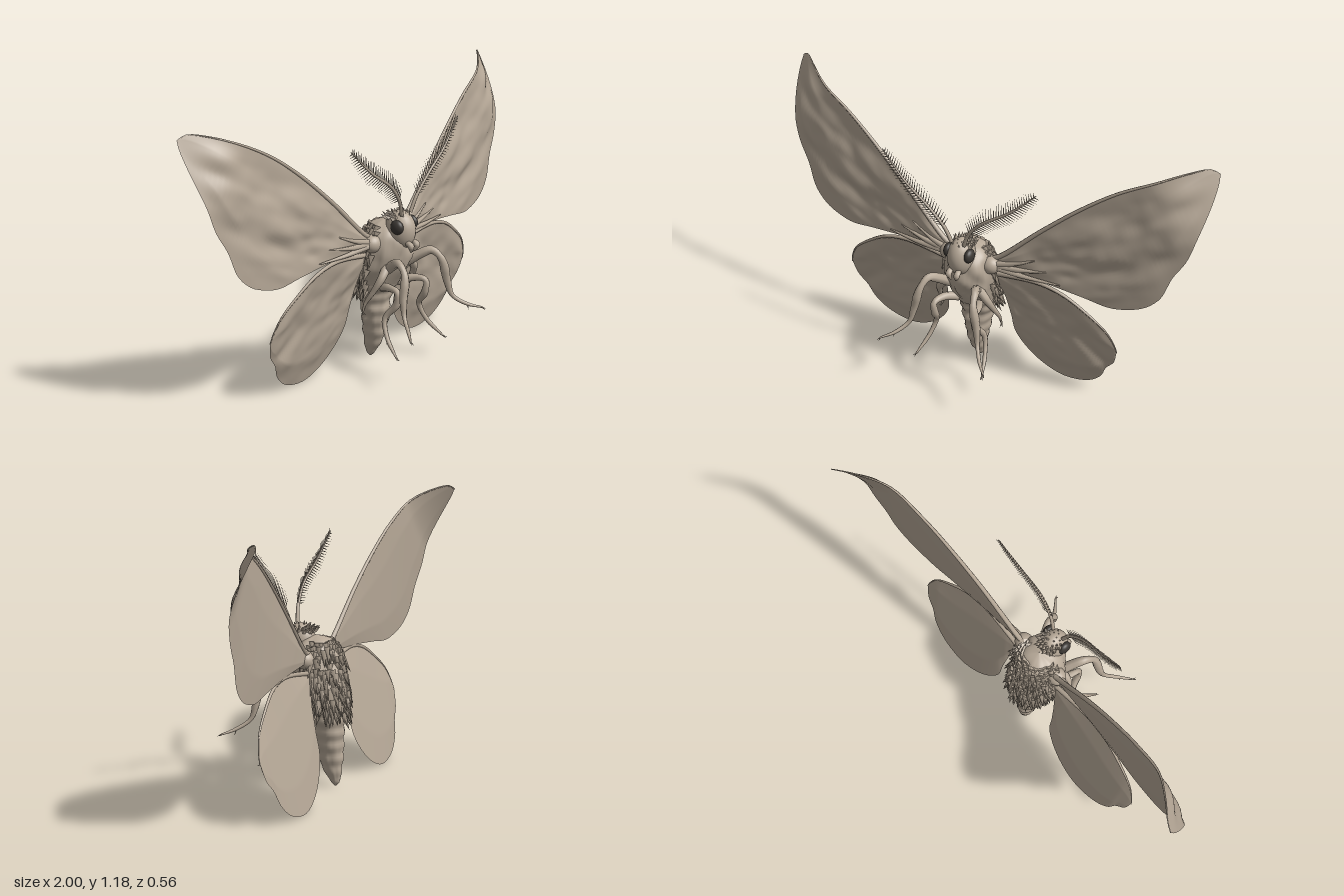
import * as THREE from 'three';
import { mergeGeometries, mergeVertices } from 'three/addons/utils/BufferGeometryUtils.js';

const V = (x, y, z = 0) => new THREE.Vector3(x, y, z);
const tan = new THREE.MeshStandardMaterial({ color: 0xb6a897 });
tan.name = 'dusty tan';
const dark = new THREE.MeshStandardMaterial({ color: 0x3b3733 });
dark.name = 'dark eye';

// seeded random and smooth 3D value noise in -1..1
let seed = 7;
const rand = () => (seed = (seed * 16807) % 2147483647) / 2147483647;
const hash = (i, j, k) => {
  const h = Math.sin(i * 127.1 + j * 311.7 + k * 74.7) * 43758.5453;
  return (h - Math.floor(h)) * 2 - 1;
};
function noise(x, y, z = 0) {
  const i = Math.floor(x), j = Math.floor(y), k = Math.floor(z);
  const s = (t) => t * t * (3 - 2 * t);
  const a = s(x - i), b = s(y - j), c = s(z - k), mix = THREE.MathUtils.lerp;
  const row = (dj, dk) => mix(hash(i, j + dj, k + dk), hash(i + 1, j + dj, k + dk), a);
  return mix(mix(row(0, 0), row(1, 0), b), mix(row(0, 1), row(1, 1), b), c);
}

// surface from a rule f(u, v); flip reverses the facing
function surface(nu, nv, f, flip) {
  const pos = [], idx = [];
  for (let j = 0; j <= nv; j++)
    for (let i = 0; i <= nu; i++) pos.push(...f(i / nu, j / nv).toArray());
  for (let j = 0; j < nv; j++)
    for (let i = 0; i < nu; i++) {
      const a = j * (nu + 1) + i, b = a + 1, c = a + nu + 1, d = c + 1;
      if (flip) idx.push(a, c, b, b, c, d);
      else idx.push(a, b, c, b, d, c);
    }
  let g = new THREE.BufferGeometry();
  g.setAttribute('position', new THREE.Float32BufferAttribute(pos, 3));
  g.setIndex(idx);
  g = mergeVertices(g, 1e-5);
  g.computeVertexNormals();
  return g;
}

// tube along points, radius given by a list of stops
function taper(points, radii, n = 28, sides = 8) {
  const curve = new THREE.CatmullRomCurve3(points);
  const fr = curve.computeFrenetFrames(n);
  return surface(sides, n, (u, v) => {
    const k = Math.round(v * n), a = u * Math.PI * 2;
    const q = v * (radii.length - 1), i = Math.min(Math.floor(q), radii.length - 2);
    const r = THREE.MathUtils.lerp(radii[i], radii[i + 1], q - i);
    return curve.getPointAt(v).addScaledVector(fr.normals[k], r * Math.cos(a))
      .addScaledVector(fr.binormals[k], r * Math.sin(a));
  }, false);
}

// thin cone from a base point in a direction
function spike(from, dir, length, radius, sides = 3) {
  const g = new THREE.ConeGeometry(radius, length, sides).translate(0, length / 2, 0);
  g.applyQuaternion(new THREE.Quaternion().setFromUnitVectors(V(0, 1, 0), dir.clone().normalize()));
  return g.translate(from.x, from.y, from.z);
}

function add(parent, name, geometry, material = tan) {
  const m = new THREE.Mesh(geometry, material);
  m.name = name;
  parent.add(m);
  return m;
}
function ball(parent, name, p, rx, ry, rz, material = tan) {
  return add(parent, name, new THREE.SphereGeometry(1, 24, 16).scale(rx, ry, rz).translate(p.x, p.y, p.z), material);
}

// wings: leading edge and trailing edge, both from root to tip, plus depth rule
const foreWing = {
  lead: [[.09, .59], [.13, .61], [.33, .8], [.49, .94], [.64, 1.05], [.79, 1.13], [.89, 1.17], [.96, 1.183], [.995, 1.165]],
  trail: [[.09, .56], [.14, .555], [.33, .545], [.52, .525], [.64, .51], [.72, .525], [.79, .555], [.85, .615], [.89, .72],
    [.94, .81], [.97, .91], [.995, 1.04], [1, 1.13], [.995, 1.165]],
  depth: (x, y) => -.052 - .05 * x * x - .06 * x * y - .1 * Math.pow(Math.max(0, x * y - .85) / .3, 1.5),
  angle: .45,
};
const hindWing = {
  lead: [[.08, .51], [.15, .525], [.33, .545], [.44, .52], [.545, .455], [.625, .385], [.66, .32], [.67, .28]],
  trail: [[.08, .47], [.13, .43], [.16, .29], [.17, .19], [.225, .1], [.305, .035], [.395, .006], [.51, .03], [.58, .09], [.61, .155],
    [.65, .205], [.67, .28]],
  depth: (x, y) => -.058 - .24 * (.55 - y),
  angle: -.7,
};
function wing(parent, name, w, s) {
  const lead = new THREE.CatmullRomCurve3(w.lead.map((p) => V(...p)));
  const trail = new THREE.CatmullRomCurve3(w.trail.map((p) => V(...p)));
  const ca = Math.cos(w.angle), sa = Math.sin(w.angle);
  const sheet = (face) => surface(56, 36, (u, v) => {
    const p = lead.getPointAt(u).lerp(trail.getPointAt(u), v);
    const edge = Math.min(1, 4 * Math.min(v, 1 - v)) * Math.min(1, 5 * (1 - u), 5 * u + .2);
    // crumpled folds on the front, smooth back
    const along = p.x * ca + p.y * sa, across = p.y * ca - p.x * sa;
    const fold = noise(along * 7, across * 15, 3) + .4 * noise(along * 15, across * 26, 9);
    const lift = face > 0 ? .007 + .013 * fold : -.007;
    p.z = w.depth(p.x, p.y) + lift * edge;
    p.x *= s;
    return p;
  }, face * s > 0);
  add(parent, name + 'Front', sheet(1)).material = tan;
  add(parent, name + 'Back', sheet(-1));
  // rounded rib along the leading edge
  const rib = w.lead.map(([x, y]) => V(s * x, y - .004, w.depth(x, y)));
  add(parent, name + 'Rib', taper(rib, [.012, .009, .006, .002], 40, 6));
}

// body stations from neck to tail: [y, centre z, half width, half depth]
const stations = [[.655, -.05, .002, .002], [.635, -.05, .06, .06], [.59, -.045, .1, .1], [.52, -.05, .118, .112],
  [.45, -.065, .112, .11], [.38, -.09, .094, .094], [.3, -.11, .074, .07], [.2, -.11, .056, .063],
  [.1, -.12, .037, .046], [.035, -.135, .02, .024], [.008, -.138, .002, .002]];
const spine = new THREE.SplineCurve(stations.map((s) => new THREE.Vector2(s[0], s[1])));
const girth = new THREE.SplineCurve(stations.map((s) => new THREE.Vector2(s[2], s[3])));
function bodyPoint(t, a) {
  const c = spine.getPoint(t), r = girth.getPoint(t);
  const d = V(Math.sin(a), 0, Math.cos(a));
  const ring = c.x < .36 ? .05 * Math.sin(c.x * 110) : 0;
  const k = 1 + ring + .1 * noise(d.x * 3 + 5, c.x * 16, d.z * 3 + 5);
  return V(d.x * r.x * k, c.x, c.y + d.z * r.y * k);
}

function antenna(parent, s) {
  const pts = [V(s * .03, .69, .055), V(s * .06, .76, .066), V(s * .13, .84, .075), V(s * .25, .925, .068), V(s * .365, 1.035, .056)];
  const curve = new THREE.CatmullRomCurve3(pts);
  const bristles = [];
  for (let i = 0; i < 30; i++) {
    const t = .17 + .8 * i / 29, p = curve.getPointAt(t), d = curve.getTangentAt(t);
    for (const side of [-1, 1]) {
      const out = V(-d.y * side, d.x * side, -.15).addScaledVector(d, .55);
      bristles.push(spike(p, out, .055 * Math.pow(Math.sin(Math.PI * (.15 + .8 * t)), .7) + .006, .0035));
    }
  }
  add(parent, 'antennaStem', taper(pts, [.009, .007, .006, .002], 30, 6));
  add(parent, 'antennaBristles', mergeGeometries(bristles));
}

function leg(parent, name, s, pts, radii) {
  const path = pts.map(([x, y, z]) => V(s * x, y, z));
  add(parent, name, taper(path, radii, 40, 8));
  // claws at the foot and a spur on the shin
  const foot = path[path.length - 1], shin = path[path.length - 2];
  add(parent, name + 'Claws', mergeGeometries([
    spike(foot, V(s * .6, -.4, .8), .02, .004), spike(foot, V(0, -.5, .9), .02, .004),
    spike(shin, V(s * .3, -1, .1), .03, .005)]));
}

export function createModel() {
  const moth = new THREE.Group();
  moth.name = 'moth';
  seed = 7;

  add(moth, 'body', surface(40, 90, (u, v) => bodyPoint(v, (u * 2 - 1) * Math.PI), true));

  // shaggy scales over the back of the thorax
  const fur = [];
  for (let row = 0; row < 13; row++)
    for (let i = 0; i < 15; i++) {
      const t = .1 + .44 * row / 12 + .02 * rand();
      const a = Math.PI + (i - 7 + rand() - .5) * .23;
      const p = bodyPoint(t, a), out = V(Math.sin(a), 0, Math.cos(a));
      const dir = out.clone().multiplyScalar(.3 + .25 * rand()).add(V((rand() - .5) * .4, -1, 0));
      fur.push(spike(p.addScaledVector(out, -.002), dir, .05 + .03 * rand(), .015, 4));
    }
  add(moth, 'backFur', mergeGeometries(fur));

  // head with crown tuft and mouth parts
  const head = new THREE.Group();
  head.name = 'head';
  moth.add(head);
  ball(head, 'skull', V(0, .615, .025), .058, .085, .07);
  const crown = [];
  for (let i = 0; i < 34; i++) {
    const a = i * 2.4, r = .05 * Math.sqrt(i / 34);
    const p = V(Math.cos(a) * r, .685 - r * .4, .01 + Math.sin(a) * r);
    crown.push(spike(p, V(Math.cos(a) * .5, .6, Math.sin(a) * .5 - .3), .03, .01, 4));
  }
  add(head, 'crownTuft', mergeGeometries(crown));

  for (const s of [1, -1]) {
    const side = new THREE.Group();
    side.name = s > 0 ? 'leftSide' : 'rightSide';
    moth.add(side);
    ball(side, 'eye', V(s * .05, .64, .045), .02, .031, .031, dark);
    add(side, 'palp', taper([V(s * .018, .57, .075), V(s * .02, .56, .095), V(s * .012, .53, .09)], [.012, .014, .004], 12));
    antenna(side, s);
    wing(side, 'foreWing', foreWing, s);
    wing(side, 'hindWing', hindWing, s);
    ball(side, 'shoulder', V(s * .1, .565, -.045), .045, .04, .04);
    // stout veins at the wing root
    for (const [x, y] of [[.42, .555], [.36, .6], [.3, .64]])
      add(side, 'wingVein', taper([V(s * .08, .565, -.04), V(s * (x + .1) / 2, (y + .565) / 2 - .004, -.05),
        V(s * x, y, foreWing.depth(x, y) + .004)], [.018, .011, .003], 16, 6));
    leg(side, 'frontLeg', s, [[.05, .43, -.02], [.09, .49, .06], [.115, .51, .105], [.13, .475, .145], [.155, .37, .158],
      [.17, .305, .175], [.21, .265, .225], [.255, .247, .27]], [.02, .022, .02, .014, .02, .016, .009, .008, .004]);
    leg(side, 'middleLeg', s, [[.05, .36, -.03], [.085, .38, .03], [.1, .375, .085], [.1, .32, .08], [.12, .255, .035],
      [.14, .18, .062], [.165, .112, .13]], [.02, .018, .013, .017, .013, .01, .009, .004]);
    leg(side, 'hindLeg', s, [[.07, .47, .01], [.115, .42, .01], [.135, .36, -.02], [.145, .31, -.05], [.15, .27, -.06]],
      [.02, .018, .013, .009, .004]);
  }
  return moth;
}
